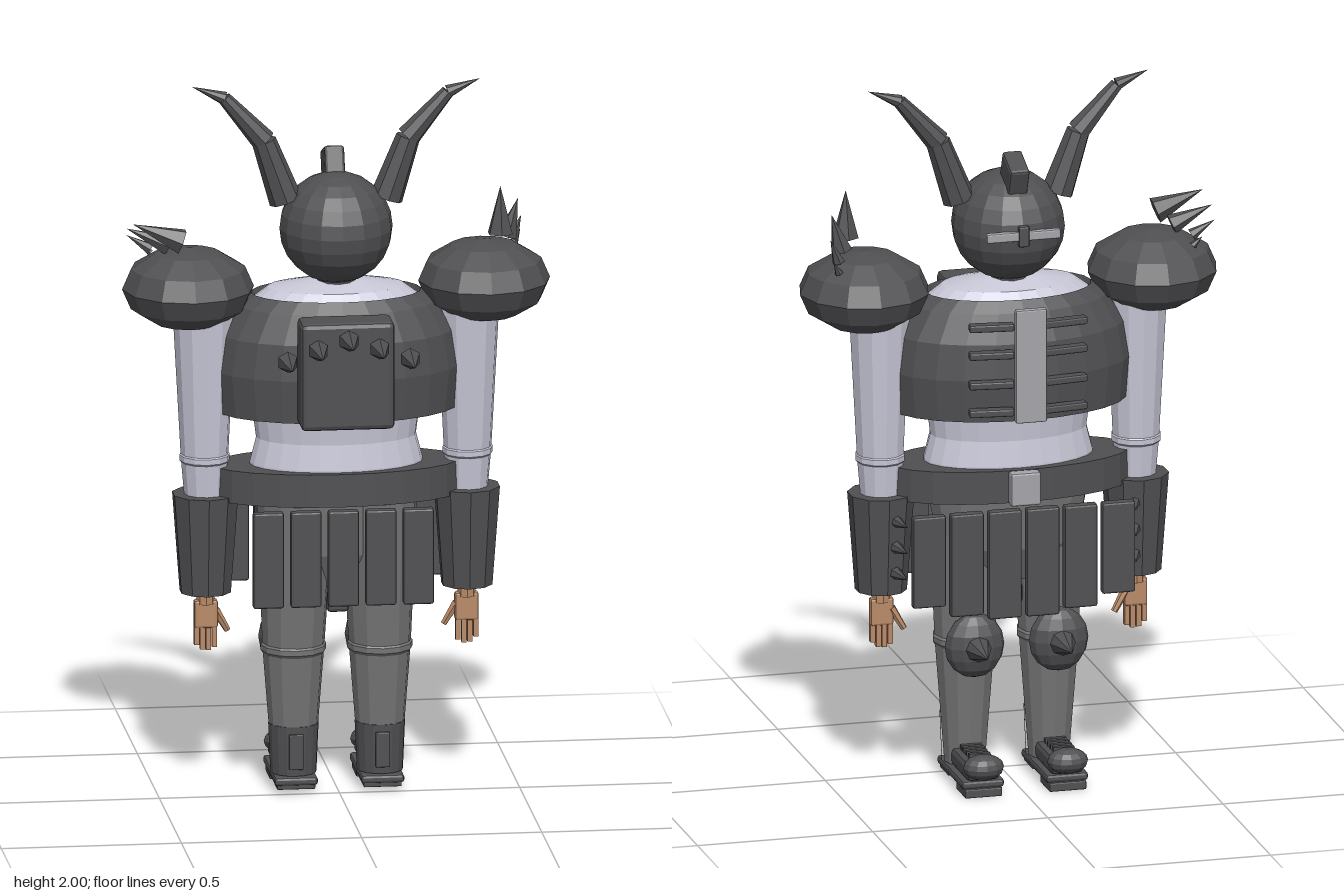
import * as THREE from 'three';
import { RoundedBoxGeometry } from 'three/addons/geometries/RoundedBoxGeometry.js';

const material = (name, color) => {
  const m = new THREE.MeshStandardMaterial({ color });
  m.name = name;
  return m;
};

export function createModel() {
  const armour = material('dark armour', 0x505053);
  const cloth = material('pale cloth', 0xc6c6d6);
  const trousers = material('grey trousers', 0x757575);
  const metal = material('light metal', 0xa4a4aa);
  const skin = material('skin', 0xb98a68);
  const model = new THREE.Group();
  model.name = 'hornedWarrior';
  const Z = -0.08; // body axis

  // Adds a faceted mesh
  function add(name, geometry, mat, x = 0, y = 0, z = 0) {
    const g = geometry.index ? geometry.toNonIndexed() : geometry;
    g.computeVertexNormals();
    const mesh = new THREE.Mesh(g, mat);
    mesh.name = name;
    mesh.position.set(x, y, z);
    model.add(mesh);
    return mesh;
  }
  const box = (name, mat, w, h, d, x, y, z, bevel = 0) =>
    add(name, bevel ? new RoundedBoxGeometry(w, h, d, 1, bevel) : new THREE.BoxGeometry(w, h, d), mat, x, y, z);

  // Tapered limb or spike from point a to point b
  function taper(name, mat, a, b, ra, rb, sides = 6) {
    const from = new THREE.Vector3(...a), dir = new THREE.Vector3(...b).sub(from);
    const g = new THREE.CylinderGeometry(rb, ra, dir.length(), sides);
    const mesh = add(name, g, mat);
    mesh.position.copy(from).addScaledVector(dir, 0.5);
    mesh.quaternion.setFromUnitVectors(new THREE.Vector3(0, 1, 0), dir.normalize());
    return mesh;
  }
  const spike = (name, a, b, r, sides = 6) => taper(name, armour, a, b, r, 0, sides);

  // Oval body of revolution, flattened front to back
  function oval(name, mat, profile, depth, sides = 24, x = 0, z = Z) {
    const g = new THREE.LatheGeometry(profile.map(p => new THREE.Vector2(...p)), sides);
    g.scale(1, 1, depth);
    return add(name, g, mat, x, 0, z);
  }

  // Head, visor and crest
  add('head', new THREE.SphereGeometry(1, 16, 12).scale(0.157, 0.155, 0.167), armour, 0, 1.59, Z);
  taper('neck', armour, [0, 1.41, Z], [0, 1.5, Z], 0.06, 0.06, 12);
  box('visorBar', metal, 0.21, 0.026, 0.02, 0, 1.6, -0.24, 0.004);
  box('noseGuard', armour, 0.03, 0.06, 0.03, 0, 1.6, -0.24, 0.005);
  box('crest', armour, 0.056, 0.14, 0.1, 0, 1.728, -0.142, 0.008).rotation.x = -0.37;

  // Torso, chest armour and belt
  oval('torso', cloth, [[0, 0.84], [0.245, 0.84], [0.24, 0.93], [0.222, 1.0], [0.235, 1.1],
    [0.26, 1.25], [0.25, 1.38], [0.19, 1.425], [0.05, 1.45], [0, 1.45]], 0.57);
  oval('chestArmour', armour, [[0.24, 1.08], [0.335, 1.08], [0.348, 1.2], [0.33, 1.3],
    [0.28, 1.38], [0.235, 1.41], [0.225, 1.39], [0.24, 1.08]], 0.6);
  oval('belt', armour, [[0.2, 0.832], [0.345, 0.832], [0.345, 0.925], [0.2, 0.925]], 0.46);
  box('buckle', metal, 0.085, 0.095, 0.035, 0, 0.878, -0.255, 0.006);
  oval('hips', trousers, [[0, 0.56], [0.11, 0.58], [0.2, 0.68], [0.23, 0.84], [0, 0.84]], 0.55, 16);
  box('crotchGuard', armour, 0.06, 0.06, 0.1, 0, 0.535, Z, 0.01);

  // Spine plate and ribs
  box('spinePlate', metal, 0.088, 0.325, 0.022, 0, 1.25, -0.32, 0.004);
  for (const y of [1.36, 1.28, 1.195, 1.115]) {
    for (const s of [-1, 1]) {
      const rib = box('rib', armour, 0.125, 0.022, 0.03, s * 0.105, y, -0.293, 0.005);
      rib.rotation.y = -s * 0.12;
    }
  }

  // Pack with a fan of spikes
  box('pack', armour, 0.26, 0.305, 0.105, 0, 1.232, 0.147, 0.014);
  [1.285, 1.315, 1.34, 1.315, 1.285].forEach((y, i) => {
    const x = (i - 2) * 0.085;
    spike('packSpike', [x, y, 0.215], [x, y, 0.325], 0.03);
  });

  // Skirt plates on both sides
  for (let i = -2; i <= 2; i++)
    box('skirtPlate', armour, 0.085, 0.272, 0.028, i * 0.104, 0.69, 0.085, 0.006);
  for (const s of [-1, 1]) {
    [0.505, 0.52, 0.553].forEach((bottom, i) => box('skirtPlate', armour,
      0.094, 0.815 - bottom, 0.03, s * (0.054 + i * 0.108), (0.815 + bottom) / 2, -0.24, 0.006));
  }

  // Pauldron spikes: upright on one side, leaning outward on the other
  [
    [[0.45, 1.57, -0.03], [0.45, 1.705, -0.03], 0.037],
    [[0.475, 1.55, -0.083], [0.505, 1.655, -0.083], 0.03],
    [[0.495, 1.53, -0.125], [0.52, 1.595, -0.13], 0.018],
    [[0.505, 1.51, -0.165], [0.522, 1.545, -0.17], 0.012],
    [[-0.435, 1.575, -0.025], [-0.57, 1.627, -0.03], 0.037],
    [[-0.465, 1.55, -0.085], [-0.58, 1.6, -0.09], 0.029],
    [[-0.51, 1.53, -0.13], [-0.575, 1.57, -0.135], 0.017],
    [[-0.505, 1.51, -0.165], [-0.53, 1.535, -0.17], 0.011],
  ].forEach(([a, b, r]) => spike('pauldronSpike', a, b, r));

  for (const s of [-1, 1]) {
    // Bent horns in three pieces
    const horn = [[0.14, 1.67, 0.046], [0.2, 1.84, 0.034], [0.31, 1.965, 0.019], [0.4, 2, 0]];
    for (let i = 0; i < 3; i++) {
      const [ax, ay, ar] = horn[i], [bx, by, br] = horn[i + 1];
      taper('horn', armour, [s * ax, ay, Z], [s * bx, by, Z], ar, br, 8);
    }

    // Shoulder, arm and gauntlet
    add('pauldron', new THREE.SphereGeometry(1, 12, 6).scale(0.183, 0.113, 0.185), armour, s * 0.411, 1.43, Z);
    taper('upperArm', cloth, [s * 0.365, 0.95, Z], [s * 0.367, 1.43, Z], 0.066, 0.09, 12);
    oval('elbow', cloth, [[0.06, 0.93], [0.07, 0.94], [0.07, 0.955], [0.06, 0.965]], 1, 12, s * 0.365);
    taper('forearm', cloth, [s * 0.363, 0.8, Z], [s * 0.365, 0.95, Z], 0.055, 0.066, 12);
    taper('gauntlet', armour, [s * 0.363, 0.565, Z], [s * 0.363, 0.845, Z], 0.072, 0.093, 10);
    for (const y of [0.78, 0.705, 0.63])
      spike('gauntletSpike', [s * 0.34, y, -0.155], [s * 0.325, y, -0.228], 0.018);

    // Hand with fingers and thumb
    box('palm', skin, 0.066, 0.08, 0.03, s * 0.362, 0.502, Z, 0.007);
    taper('wrist', skin, [s * 0.362, 0.53, Z], [s * 0.362, 0.58, Z], 0.025, 0.025, 8);
    for (let i = 0; i < 4; i++) {
      const length = [0.06, 0.068, 0.066, 0.052][i];
      box('finger', skin, 0.014, length, 0.018, s * (0.338 + i * 0.0165), 0.467 - length / 2, Z);
    }
    taper('thumb', skin, [s * 0.335, 0.51, Z - 0.005], [s * 0.3, 0.45, Z - 0.01], 0.013, 0.009);

    // Leg
    const lx = s * 0.12;
    taper('thigh', trousers, [lx, 0.405, -0.067], [s * 0.115, 0.83, -0.055], 0.086, 0.108, 12);
    oval('kneeSeam', trousers, [[0.082, 0.385], [0.091, 0.397], [0.091, 0.412], [0.082, 0.424]], 1, 12, lx, -0.067);
    taper('shin', trousers, [lx, 0.05, -0.066], [lx, 0.405, -0.067], 0.058, 0.086, 12);
    add('kneePad', new THREE.SphereGeometry(1, 12, 8).scale(0.085, 0.092, 0.05), armour, lx, 0.41, -0.17);
    spike('kneeSpike', [lx, 0.41, -0.215], [lx, 0.41, -0.315], 0.036, 8);

    // Boot: heel guard, sole, upper, toe cap and laces
    const guard = new THREE.CylinderGeometry(0.07, 0.064, 0.14, 8, 1, false, -Math.PI / 2, Math.PI);
    add('heelGuard', guard, armour, lx, 0.12, -0.066);
    box('heelPlate', armour, 0.04, 0.1, 0.014, lx, 0.12, 0.0, 0.003);
    box('sole', armour, 0.12, 0.024, 0.27, lx, 0.036, -0.13, 0.008);
    box('tread', armour, 0.106, 0.026, 0.1, lx, 0.013, -0.22, 0.004);
    box('heelTread', armour, 0.106, 0.014, 0.09, lx, 0.02, -0.045, 0.003);
    box('bootUpper', armour, 0.096, 0.055, 0.18, lx, 0.073, -0.18, 0.016);
    add('toeCap', new THREE.SphereGeometry(1, 12, 8).scale(0.058, 0.036, 0.045), armour, lx, 0.086, -0.265);
    for (let i = 0; i < 4; i++)
      box('lace', armour, 0.06, 0.016, 0.014, lx, 0.106, -0.135 - i * 0.028);
  }
  return model;
}
